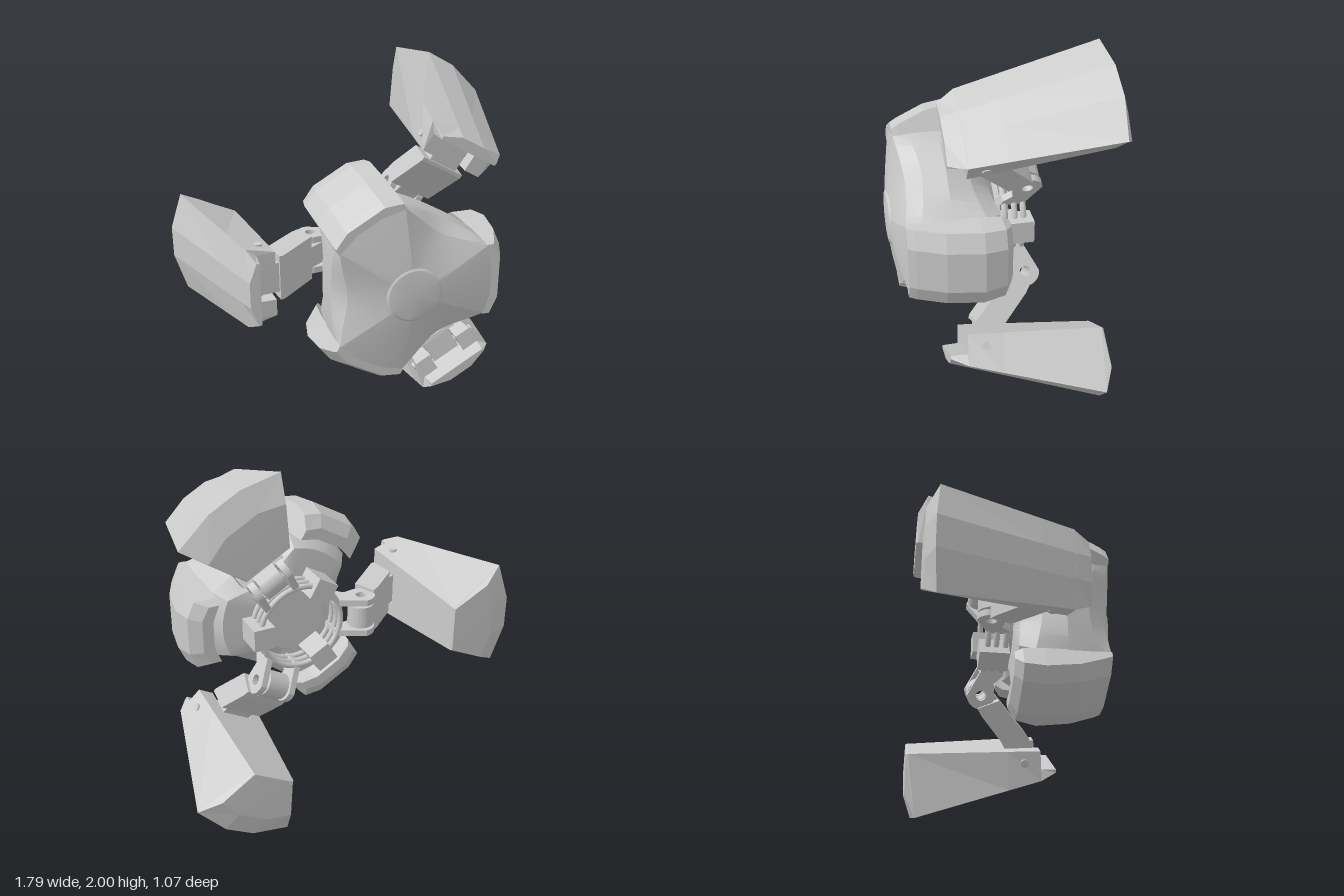
import * as THREE from 'three';
import { toCreasedNormals } from 'three/addons/utils/BufferGeometryUtils.js';

const flat = new THREE.MeshStandardMaterial({ color: 0xcccccc, flatShading: true });
const smooth = new THREE.MeshStandardMaterial({ color: 0xcccccc });

function part(name, geometry, parent, material = flat) {
  const m = new THREE.Mesh(geometry, material);
  m.name = name;
  parent.add(m);
  return m;
}

// Skins rings of [x, y, z] (counter-clockwise from +z, back to front) and caps both ends.
function loft(rings, backCentre, frontCentre) {
  const pos = [], n = rings[0].length;
  const tri = (...p) => p.forEach(v => pos.push(...v));
  for (let i = 0; i < n; i++) {
    const j = (i + 1) % n;
    for (let k = 0; k + 1 < rings.length; k++) {
      const a = rings[k], b = rings[k + 1];
      tri(a[i], a[j], b[j]);
      tri(a[i], b[j], b[i]);
    }
    const last = rings[rings.length - 1];
    tri(backCentre, rings[0][j], rings[0][i]);
    tri(frontCentre, last[i], last[j]);
  }
  const g = new THREE.BufferGeometry();
  g.setAttribute('position', new THREE.Float32BufferAttribute(pos, 3));
  g.computeVertexNormals();
  return g;
}

// Half a ring with y > 0, completed by its mirror image.
const mirrorRing = half => [...half, ...half.map(([x, y, z]) => [x, -y, z]).reverse()];

// A shape drawn in (x, z), given thickness along y.
function slab(shape, thickness, y = 0) {
  const g = new THREE.ExtrudeGeometry(shape, { depth: thickness, bevelEnabled: false, curveSegments: 10 });
  return g.translate(0, 0, -thickness / 2).rotateX(Math.PI / 2).translate(0, y, 0);
}
const polygon = pts => new THREE.Shape(pts.map(p => new THREE.Vector2(...p)));

// Rounded eye around the hinge, running on into the given points, with a pin hole.
function eye(radius, from, to, pts) {
  const s = new THREE.Shape();
  s.absarc(0.35, -0.15, radius, from, to, false);
  pts.forEach(p => s.lineTo(...p));
  s.closePath();
  s.holes.push(new THREE.Path().absarc(0.35, -0.15, 0.028, 0, Math.PI * 2, true));
  return s;
}

// Domed core: full under the bumpers, with flatter panels and a scalloped rim at the arms.
function coreGeometry() {
  // [radius at arm, z at arm, radius at bumper, z at bumper]
  const profile = [
    [0, -0.01, 0, -0.01], [0.19, -0.01, 0.2, -0.01], [0.24, 0.02, 0.38, 0.0], [0.34, 0.12, 0.44, 0.08],
    [0.395, 0.24, 0.46, 0.25], [0.385, 0.36, 0.46, 0.4], [0.325, 0.44, 0.455, 0.472],
    [0.24, 0.482, 0.26, 0.505], [0.145, 0.512, 0.145, 0.52], [0.135, 0.522, 0.135, 0.526], [0.1, 0.53, 0.1, 0.53], [0, 0.53, 0, 0.53],
  ];
  const rings = profile.slice(1, -1).map(([ra, za, rb, zb]) => {
    const ring = [];
    for (let i = 0; i < 72; i++) {
      const a = i / 72 * Math.PI * 2;
      const fromArm = Math.abs(a % (Math.PI * 2 / 3) - Math.PI / 3);
      const w = Math.min(1, (fromArm / 0.61) ** 2);
      const r = ra + (rb - ra) * w;
      ring.push([r * Math.cos(a), r * Math.sin(a), za + (zb - za) * w]);
    }
    return ring;
  });
  return toCreasedNormals(loft(rings, [0, 0, -0.01], [0, 0, 0.53]), 0.3);
}

// Bumper plate bent round the core: [z, outer radius, half width].
function bumperGeometry() {
  const stations = [[-0.03, 0.5, 0.165], [0.01, 0.565, 0.19], [0.12, 0.59, 0.2], [0.3, 0.56, 0.2], [0.44, 0.5, 0.2], [0.475, 0.48, 0.198]];
  const rings = stations.map(([z, r, w]) => mirrorRing([
    [r, w * 0.55, z], [r - 0.04, w, z], [0.405, w, z], [0.44, w * 0.5, z],
  ]));
  return loft(rings, [0.47, 0, -0.03], [0.46, 0, 0.475]);
}

// Flared foot shell with a slot in its inner front end for the arm.
function footGeometry() {
  const back = [[1.05, 0.085, -0.49], [0.99, 0.283, -0.475], [0.685, 0.125, -0.525]];
  const front = [[0.81, 0.07, 0.2], [0.78, 0.22, 0.2], [0.625, 0.18, 0.19]];
  const station = (f, slotFloor) => {
    const h = back.map((b, i) => b.map((v, k) => v + (front[i][k] - v) * f));
    const [r, , z] = h[2];
    return mirrorRing([...h, [r, 0.09, z], [slotFloor ?? r, 0.09, z]]);
  };
  const plate = mirrorRing([[0.93, 0.09, -0.533], [0.88, 0.215, -0.533], [0.69, 0.12, -0.535], [0.69, 0.09, -0.535], [0.69, 0.08, -0.535]]);
  const lip = (z, s) => mirrorRing([
    [0.81 - s, 0.07, z], [0.78 - s * 1.3, 0.22 - s * 1.5, z], [0.725, 0.18 - s * 0.3, z], [0.725, 0.09, z], [0.725, 0.085, z],
  ]);
  return loft([plate, station(0), station(0.74), station(0.75, 0.725), station(1, 0.725), lip(0.201, 0), lip(0.285, 0.03)],
    [0.82, 0, -0.535], [0.745, 0, 0.285]);
}

function buildLimb() {
  const limb = new THREE.Group();
  limb.name = 'limb';

  // Fork fixed to the rings
  const ear = eye(0.075, -Math.PI / 2, Math.PI / 2, [[0.28, -0.085], [0.24, -0.04], [0.2, -0.03], [0.2, -0.15], [0.28, -0.19]]);
  for (const s of [-1, 1]) part('hingeEar', slab(ear, 0.035, s * 0.09), limb);

  // Swinging arm: root eye, broad beam and narrow tongue
  const root = eye(0.07, Math.PI * 0.75, Math.PI * 1.75, [[0.47, -0.11], [0.4, -0.03]]);
  part('armRoot', slab(root, 0.12), limb);
  part('armBeam', slab(polygon([[0.42, -0.165], [0.46, -0.14], [0.61, -0.01], [0.59, 0.135], [0.57, 0.13], [0.37, -0.05]]), 0.25), limb);
  part('armTongue', slab(polygon([[0.56, -0.03], [0.65, 0.02], [0.74, 0.07], [0.74, 0.14], [0.58, 0.12]]), 0.165), limb);

  // Foot and its pivot pin
  part('foot', footGeometry(), limb);
  const pin = part('footPin', new THREE.CylinderGeometry(0.022, 0.022, 0.4, 12), limb);
  pin.position.set(0.695, 0, 0.105);
  return limb;
}

export function createModel() {
  const model = new THREE.Group();
  model.name = 'threeLimbedPod';
  const hub = new THREE.Group();
  hub.name = 'hub';
  hub.position.set(0.15, 1, 0);
  model.add(hub);

  part('core', coreGeometry(), hub, smooth);
  part('backPlate', new THREE.CylinderGeometry(0.18, 0.18, 0.04, 32).rotateX(Math.PI / 2), hub, flat).position.z = -0.02;

  // Stacked rings behind the core
  for (const z of [-0.05, -0.1, -0.145])
    part('ring', new THREE.TorusGeometry(0.23, 0.016, 8, 48), hub, smooth).position.z = z;

  // Three bumpers and ring blocks, with limbs between them
  for (let i = 0; i < 3; i++) {
    const a = i * Math.PI * 2 / 3;
    const sector = new THREE.Group();
    sector.name = 'bumperSector';
    sector.rotation.z = a;
    part('bumper', bumperGeometry(), sector);
    part('ringBlock', new THREE.BoxGeometry(0.115, 0.12, 0.16), sector).position.set(0.225, 0, -0.11);
    hub.add(sector);

    const limb = buildLimb();
    limb.rotation.z = a + Math.PI / 3;
    hub.add(limb);
  }
  return model;
}
